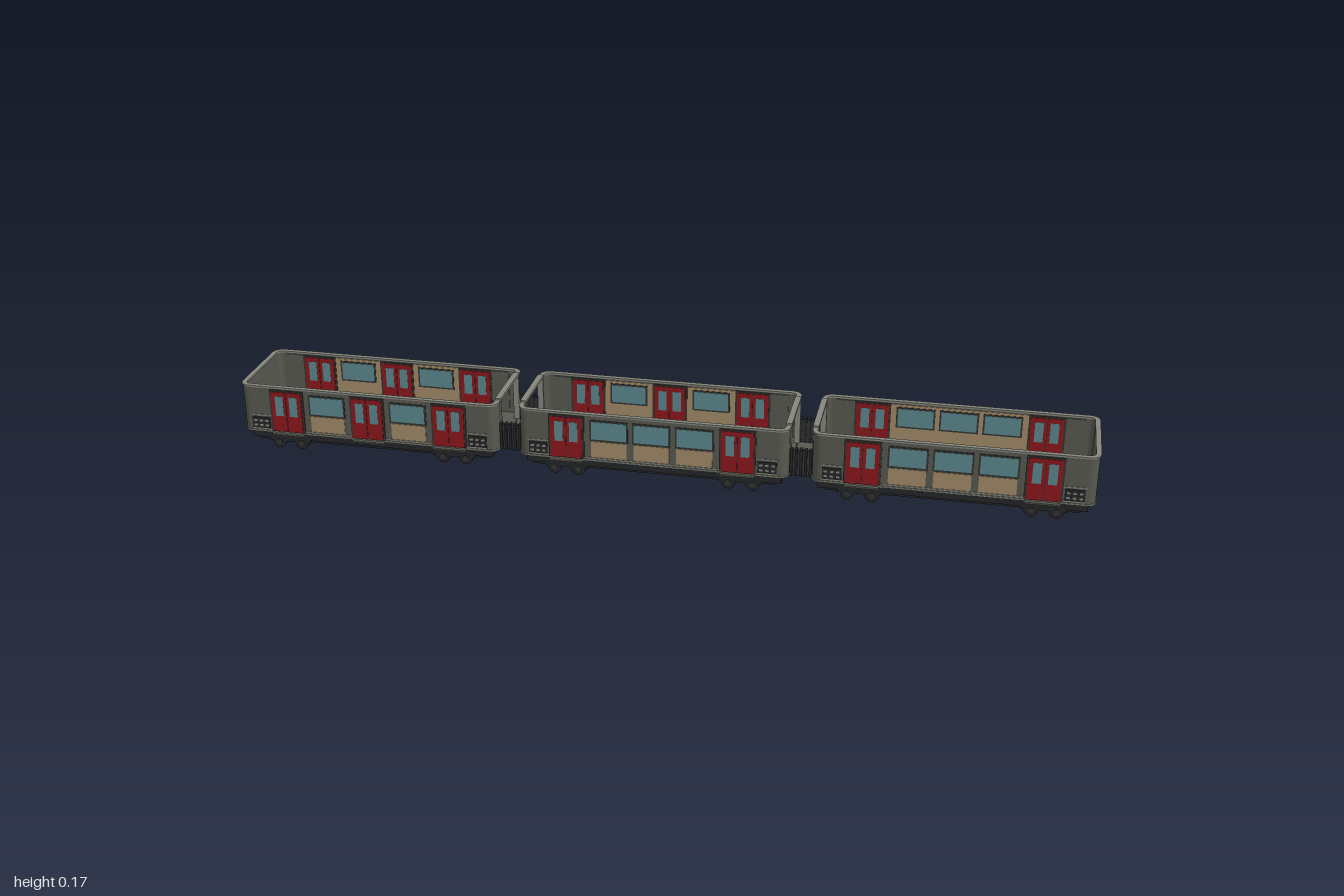
import * as THREE from 'three';

const flat = (name, color) => {
  const m = new THREE.MeshStandardMaterial({ color });
  m.name = name;
  return m;
};
const M = {
  grey: flat('body grey', 0x57584f),
  trim: flat('light trim', 0x85867c),
  dark: flat('dark frame', 0x333432),
  black: flat('chassis black', 0x242528),
  red: flat('door red', 0x8a171c),
  glass: flat('window teal', 0x5b868c),
  beige: flat('panel beige', 0xa08967),
};

const HALF = 0.315, W = 0.112, T = 0.008, R = 0.022;
const FLOOR = 0.05, TOP = 0.16, PORTAL = 0.072;

function add(parent, name, geo, mat, x = 0, y = 0, z = 0) {
  const m = new THREE.Mesh(geo, mat);
  m.name = name;
  m.position.set(x, y, z);
  parent.add(m);
  return m;
}
// Box given by its limits in y, centred on x and z
function slab(parent, name, mat, x, w, y0, y1, z, d) {
  return add(parent, name, new THREE.BoxGeometry(w, y1 - y0, d), mat, x, (y0 + y1) / 2, z);
}

// One half of the car outline, from the left gap round both corners to the right gap
function halfOutline(gapL, gapR, grow) {
  const h = HALF + grow, w = W + grow, r = R + grow, pts = [[-h, gapL]];
  for (let i = 0; i <= 5; i++) {
    const a = Math.PI - (i / 5) * Math.PI / 2;
    pts.push([-h + r + r * Math.cos(a), w - r + r * Math.sin(a)]);
  }
  for (let i = 0; i <= 5; i++) {
    const a = Math.PI / 2 - (i / 5) * Math.PI / 2;
    pts.push([h - r + r * Math.cos(a), w - r + r * Math.sin(a)]);
  }
  pts.push([h, gapR]);
  return pts;
}
function extrudeUp(pts, side, y0, y1) {
  const shape = new THREE.Shape(pts.map(([x, z]) => new THREE.Vector2(x, -z * side)));
  return new THREE.ExtrudeGeometry(shape, { depth: y1 - y0, bevelEnabled: false })
    .rotateX(-Math.PI / 2).translate(0, y0, 0);
}
function band(gapL, gapR, side, y0, y1, grow, thick) {
  const inner = halfOutline(gapL, gapR, grow - thick).reverse();
  return extrudeUp([...halfOutline(gapL, gapR, grow), ...inner], side, y0, y1);
}

// Double sliding door, with both faces and a step
function door(x, side) {
  const g = new THREE.Group();
  g.name = 'door';
  const faces = [[W + 0.001, 1], [W - T - 0.001, -1]];
  for (const [z, out] of faces) {
    const at = (k) => (z + out * k) * side;
    slab(g, 'doorFrame', M.dark, x, 0.084, FLOOR, 0.157, at(0), 0.004);
    for (const s of [-1, 1]) {
      slab(g, 'doorLeaf', M.red, x + s * 0.0192, 0.0365, FLOOR + 0.001, 0.153, at(0.002), 0.004);
      slab(g, 'doorWindow', M.glass, x + s * 0.0175, 0.02, 0.092, 0.142, at(0.0042), 0.001);
    }
  }
  slab(g, 'doorStep', M.grey, x, 0.08, 0.043, 0.047, (W + 0.003) * side, 0.016);
  return g;
}

// Side window with its lower panel, outside and inside
function sideWindow(x, side) {
  const g = new THREE.Group();
  g.name = 'sideWindow';
  for (const [z, out] of [[W, 1], [W - T - 0.001, -1]]) {
    const at = (k) => (z + out * k) * side;
    slab(g, 'windowFrame', M.dark, x, 0.09, 0.098, 0.15, at(0.0005), 0.003);
    slab(g, 'windowGlass', M.glass, x, 0.082, 0.102, 0.146, at(0.0022), 0.001);
    if (out > 0) slab(g, 'lowerPanel', M.beige, x, 0.084, 0.056, 0.096, at(0.0005), 0.002);
  }
  return g;
}

function vent(x, side) {
  const g = new THREE.Group();
  g.name = 'vent';
  slab(g, 'ventPlate', M.black, x, 0.044, 0.055, 0.083, (W + 0.001) * side, 0.003);
  for (let i = 0; i < 3; i++) for (let j = 0; j < 2; j++) {
    slab(g, 'ventSlat', M.trim, x + (i - 1) * 0.014, 0.008, 0.06 + j * 0.012, 0.065 + j * 0.012,
      (W + 0.0028) * side, 0.001);
  }
  return g;
}

// Car: openL and openR tell which ends have a passage
function car(name, x, openL, openR, midFront, midBack) {
  const g = new THREE.Group();
  g.name = name;
  g.position.x = x;
  const gL = openL ? PORTAL : 0, gR = openR ? PORTAL : 0;
  for (const side of [1, -1]) {
    add(g, 'bodyWall', band(gL, gR, side, 0.045, TOP, 0, T), M.grey);
    add(g, 'topRim', band(gL, gR, side, TOP, 0.164, 0.002, T + 0.004), M.trim);
    add(g, 'lowerRim', band(gL, gR, side, 0.045, 0.049, 0.0015, 0.003), M.trim);
    add(g, 'floor', extrudeUp(halfOutline(0, 0, -0.003), side, 0.043, FLOOR), M.grey);
    slab(g, 'insidePanel', M.beige, 0, 0.56, 0.056, 0.156, (W - T - 0.0005) * side, 0.002);
    slab(g, 'floorSeam', M.trim, 0, 0.6, FLOOR, FLOOR + 0.0008, 0.033 * side, 0.002);
    for (const e of [-1, 1]) {
      g.add(vent(e * 0.268, side));
      slab(g, 'sideStripe', M.trim, e * 0.268, 0.05, 0.087, 0.09, W * side, 0.003);
      slab(g, 'insideEndPanel', M.grey, e * 0.262, 0.045, 0.056, 0.157, (W - T - 0.001) * side, 0.003);
    }
    slab(g, 'sideStripe', M.trim, 0, 0.58, 0.052, 0.055, W * side, 0.003);
    const mid = side > 0 ? midFront : midBack;
    for (const d of mid ? [-0.2, 0, 0.2] : [-0.2, 0.2]) g.add(door(d, side));
    for (const d of mid ? [-0.1, 0.1] : [-0.1, 0, 0.1]) g.add(sideWindow(d, side));
  }
  for (const d of [-0.2, 0, 0.2]) slab(g, 'floorSeam', M.dark, d, 0.002, FLOOR, FLOOR + 0.0008, 0, 0.2);

  // Passage frames
  for (const [open, e] of [[openL, -1], [openR, 1]]) {
    if (!open) continue;
    const px = e * (HALF - T / 2);
    for (const s of [-1, 1]) slab(g, 'passagePost', M.trim, px, 0.014, FLOOR, 0.168, s * 0.0745, 0.007);
    slab(g, 'passageHeader', M.trim, px, 0.014, 0.162, 0.168, 0, 0.156);
  }

  // Chassis and wheels
  slab(g, 'chassis', M.black, 0, 0.6, 0.025, 0.044, 0, 0.2);
  slab(g, 'chassisBase', M.black, 0, 0.57, 0.017, 0.025, 0, 0.184);
  const wheel = new THREE.CylinderGeometry(0.016, 0.016, 0.009, 20).rotateX(Math.PI / 2);
  const hub = new THREE.CylinderGeometry(0.007, 0.007, 0.003, 12).rotateX(Math.PI / 2);
  for (const b of [-0.205, 0.205]) for (const s of [-1, 1]) {
    slab(g, 'bogieFrame', M.black, b, 0.1, 0.017, 0.027, s * 0.093, 0.012);
    for (const k of [-0.028, 0.028]) {
      add(g, 'wheel', wheel, M.black, b + k, 0.016, s * 0.0945);
      add(g, 'wheelHub', hub, M.dark, b + k, 0.016, s * 0.0995);
    }
  }
  return g;
}

// Folded connection between cars, open above
function gangway(x) {
  const g = new THREE.Group();
  g.name = 'gangway';
  g.position.x = x;
  slab(g, 'gangwayFloor', M.grey, 0, 0.056, 0.044, FLOOR, 0, 0.17);
  slab(g, 'coupler', M.black, 0, 0.09, 0.027, 0.04, 0, 0.05);
  for (const s of [-1, 1]) {
    slab(g, 'bellowsWall', M.dark, 0, 0.056, 0.044, 0.107, s * 0.082, 0.008);
    for (let i = 0; i < 5; i++) {
      slab(g, 'bellowsFold', M.black, (i - 2) * 0.011, 0.006, 0.044, 0.11, s * 0.084, 0.014);
    }
  }
  return g;
}

export function createModel() {
  const train = new THREE.Group();
  train.name = 'train';
  train.add(
    car('rightCar', -0.683, false, true, true, true),
    car('middleCar', 0, true, true, false, true),
    car('leftCar', 0.683, true, false, false, false),
    gangway(-0.3415),
    gangway(0.3415),
  );
  return train;
}
